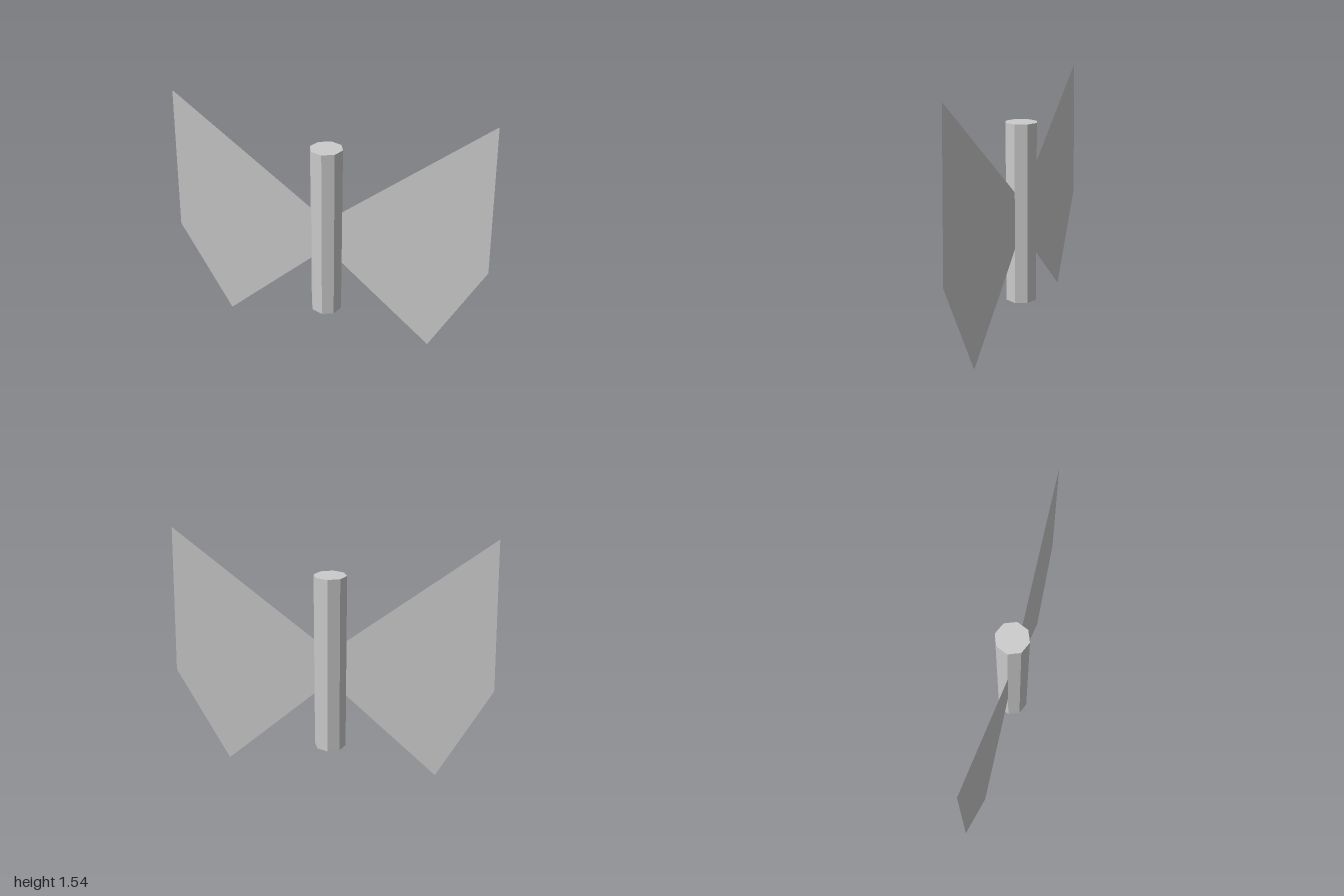
import * as THREE from 'three';

export function createModel() {
  const model = new THREE.Group();
  model.name = 'butterfly';

  // Upright eight-sided body
  const bottom = 0.165, top = 1.295;
  const body = new THREE.Mesh(
    new THREE.CylinderGeometry(0.1, 0.1, top - bottom, 8),
    new THREE.MeshStandardMaterial({ color: 0xcccccc, flatShading: true })
  );
  body.name = 'body';
  body.position.y = (bottom + top) / 2;
  model.add(body);

  // Paper-thin wings, mirrored, with their roots inside the body
  const outline = [[0, 0.61], [0.68, 0], [1, 0.62], [0.953, 1.545], [0, 0.808]];
  const wingMaterial = new THREE.MeshStandardMaterial({
    color: 0xcccccc, flatShading: true, side: THREE.DoubleSide
  });
  for (const [name, side] of [['leftWing', 1], ['rightWing', -1]]) {
    const shape = new THREE.Shape(outline.map(([x, y]) => new THREE.Vector2(side * x, y)));
    const wing = new THREE.Mesh(new THREE.ShapeGeometry(shape), wingMaterial);
    wing.name = name;
    model.add(wing);
  }

  return model;
}
